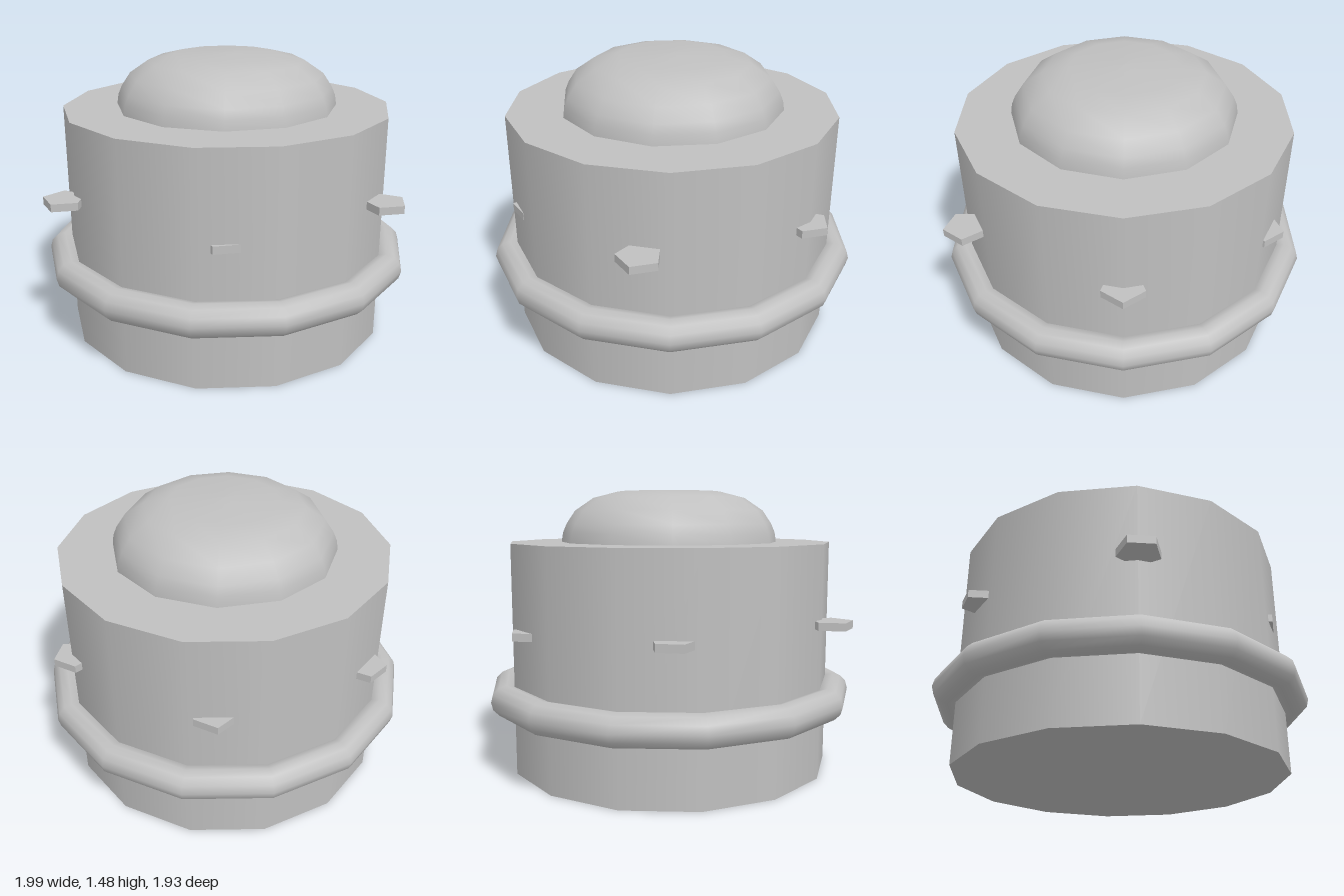
import * as THREE from 'three';

export function createModel() {
  const model = new THREE.Group();
  const grey = new THREE.MeshStandardMaterial({ color: 0xc0c0c0 });
  grey.name = 'plain grey';

  const add = (name, geometry, x, y, z) => {
    const mesh = new THREE.Mesh(geometry, grey);
    mesh.name = name;
    mesh.position.set(x, y, z);
    model.add(mesh);
    return mesh;
  };

  // Fourteen-sided drum with a corner on +x
  const centre = 0.007;
  add('drum', new THREE.CylinderGeometry(0.865, 0.865, 1.2, 14).rotateY(Math.PI / 2), centre, 0.6, 0);

  // Round band about the lower drum
  add('band', new THREE.TorusGeometry(0.905, 0.083, 12, 14).rotateX(Math.PI / 2), centre, 0.393, 0);

  // Twelve-sided flattened dome on top
  const profile = [[0.585, 1.2], [0.577, 1.25], [0.557, 1.297], [0.51, 1.367], [0.41, 1.435], [0.28, 1.468], [0, 1.477]]
    .map(([r, y]) => new THREE.Vector2(r, y));
  add('dome', new THREE.LatheGeometry(profile, 12), centre, 0, 0);

  // Six five-sided studs half sunk in the wall, each with a corner on +x
  const stud = new THREE.CylinderGeometry(0.11, 0.11, 0.04, 5).rotateY(Math.PI / 2).toNonIndexed();
  stud.computeVertexNormals();
  const spots = [
    [0.855, 0.77, 0], [0.463, 0.80, 0.79], [-0.377, 0.727, 0.665],
    [-0.91, 0.805, 0], [-0.41, 0.77, -0.727], [0.41, 0.75, -0.7],
  ];
  spots.forEach(([x, y, z], i) => add('stud' + (i + 1), stud, x, y, z));

  return model;
}
